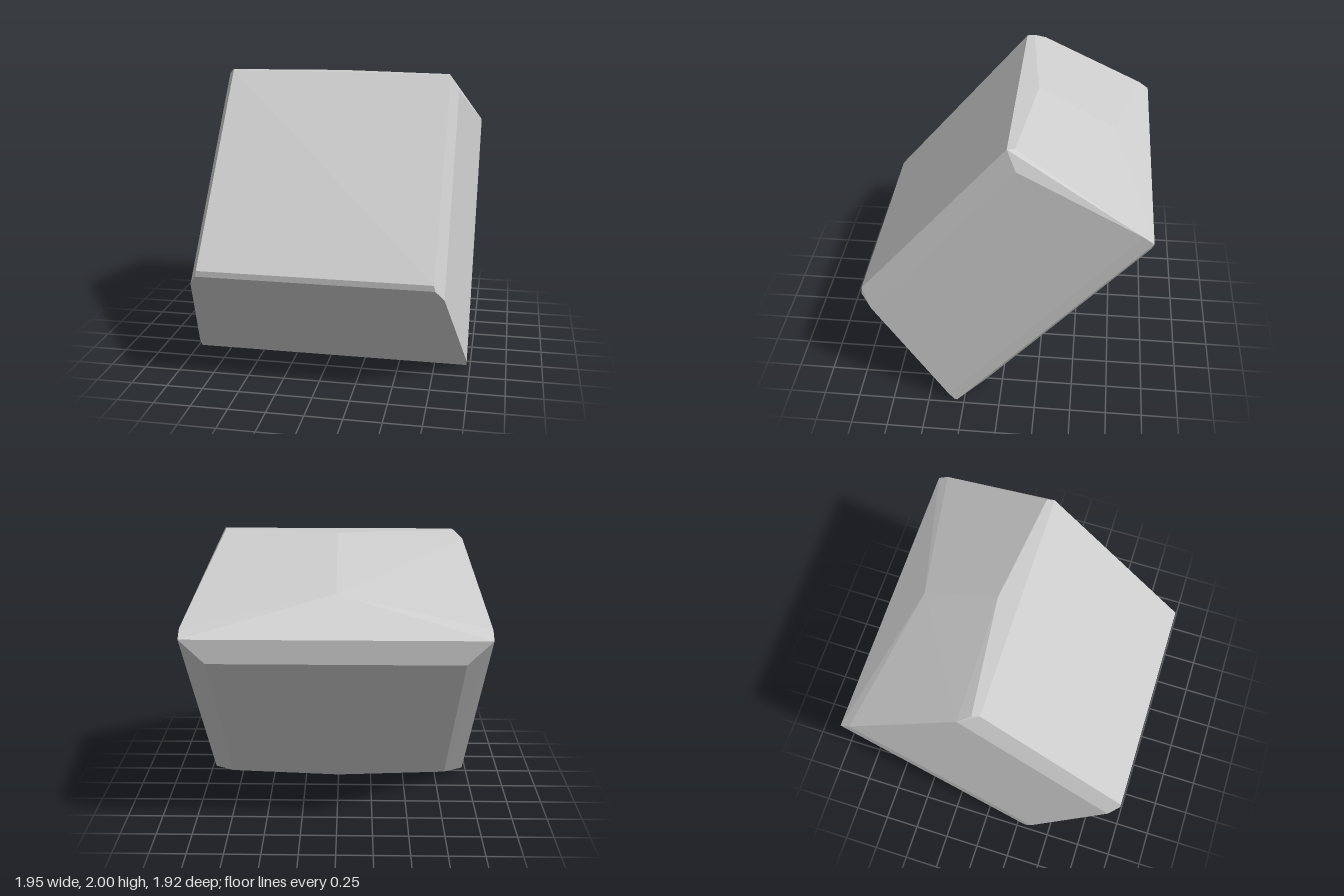
import * as THREE from 'three';
import { ConvexGeometry } from 'three/addons/geometries/ConvexGeometry.js';

// A tilted, bevelled stone block with slightly peaked ends
export function createModel() {
  const stone = new THREE.MeshStandardMaterial({ color: 0xcccccc });
  const points = [];
  const point = (x, y, z) => points.push(new THREE.Vector3(x, y, z));
  const pair = (x, y, z) => { point(x, y, z); point(-x, y, z); };

  // Broad front face and its narrow lower bevel
  pair(0.775, 2, -0.04);
  pair(0.775, 0.82, 0.96);
  pair(0.785, 0.78, 0.96);

  // Side bevels: the left upper corner is chipped lower than the right
  pair(0.84, 0.7, 0.89);
  point(0.835, 1.88, -0.1);
  point(-0.84, 1.96, -0.17);
  point(0.765, 2, -0.09);
  point(-0.79, 2, -0.09);

  // Widest band along each side
  pair(0.975, 0.055, 0.36);
  pair(0.975, 1.55, -0.89);
  pair(0.975, 0, 0.3);
  pair(0.975, 0, 0.316);
  pair(0.975, 1.5, -0.96);

  // Back face, inset by its bevel
  pair(0.815, 0.06, 0.11);
  pair(0.815, 1.34, -0.96);

  // Peaks in the middle of the top and bottom ends
  point(0, 2, -0.18);
  point(0, 1.72, -0.7);
  point(0, 0, 0.165);

  const block = new THREE.Mesh(new ConvexGeometry(points), stone);
  block.name = 'stoneBlock';
  stone.name = 'paleStone';

  const group = new THREE.Group();
  group.name = 'tiltedBlock';
  group.add(block);
  return group;
}
